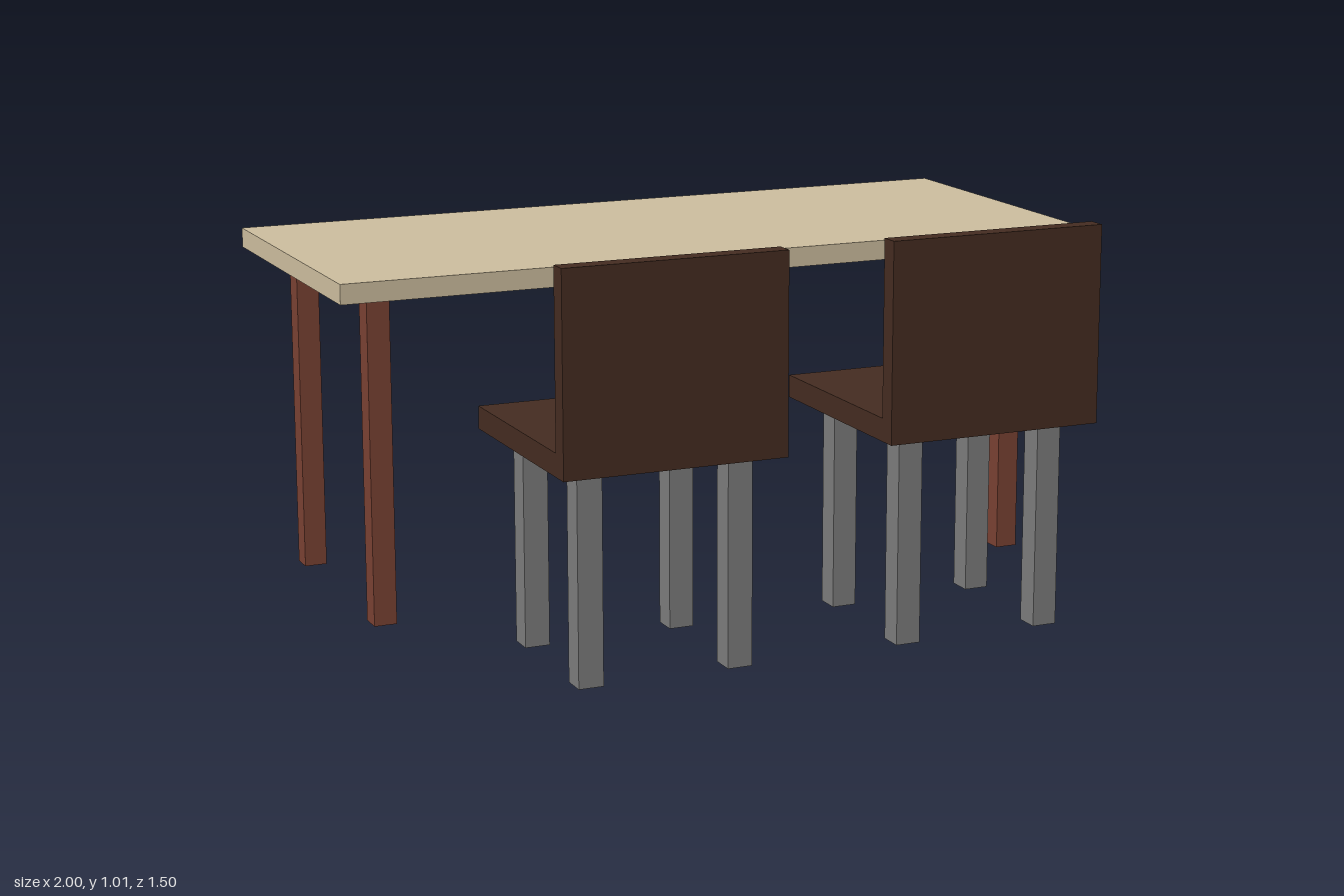
import * as THREE from 'three';

const material = (color) => new THREE.MeshStandardMaterial({ color });

// Box given by its extents along each axis
function box(name, [x0, x1], [y0, y1], [z0, z1], mat) {
  const mesh = new THREE.Mesh(new THREE.BoxGeometry(x1 - x0, y1 - y0, z1 - z0), mat);
  mesh.position.set((x0 + x1) / 2, (y0 + y1) / 2, (z0 + z1) / 2);
  mesh.name = name;
  return mesh;
}

// Four square legs at every combination of the x and z centres
function addLegs(parent, name, xs, zs, width, bottom, top, mat) {
  const h = width / 2;
  for (const x of xs) {
    for (const z of zs) {
      parent.add(box(name, [x - h, x + h], [bottom, top], [z - h, z + h], mat));
    }
  }
}

function createTable() {
  const table = new THREE.Group();
  table.name = 'table';
  table.add(box('tableTop', [-1, 1], [0.834, 0.884], [-0.75, 0.091], material(0xcabb9c)));
  addLegs(table, 'tableLeg', [-0.873, 0.873], [-0.046, -0.628], 0.058, 0, 0.834, material(0x774032));
  return table;
}

function createChair(name, x) {
  const chair = new THREE.Group();
  chair.name = name;
  const wood = material(0x432b20);
  const side = [-0.277, 0.277];
  chair.add(box('seat', side, [0.529, 0.585], [0.199, 0.752], wood));
  chair.add(box('backrest', side, [0.585, 1.013], [0.705, 0.752], wood));
  // Legs sit slightly off the seat's centre
  addLegs(chair, 'chairLeg', [-0.183, 0.193], [0.297, 0.641], 0.062, 0.011, 0.529, material(0x7a7a7a));
  chair.position.x = x;
  return chair;
}

export function createModel() {
  const model = new THREE.Group();
  model.name = 'tableWithTwoChairs';
  model.add(createTable(), createChair('rightChair', -0.422), createChair('leftChair', 0.398));
  return model;
}
